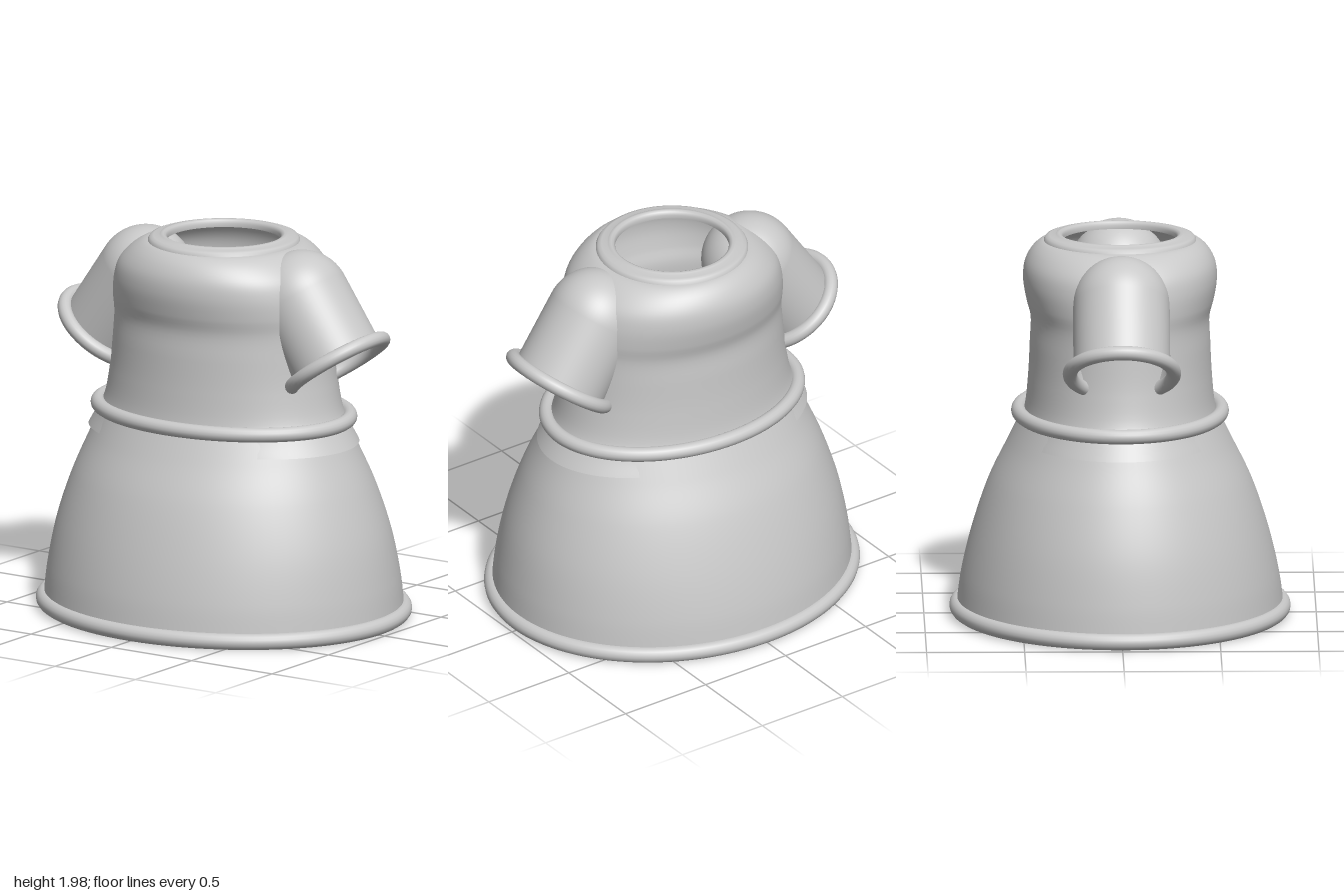
import * as THREE from 'three';
import { ParametricGeometry } from 'three/addons/geometries/ParametricGeometry.js';

const cloth = new THREE.MeshStandardMaterial({ color: 0xc8c8c8, side: THREE.DoubleSide });
cloth.name = 'grey cloth';

function mesh(name, geometry) {
  const m = new THREE.Mesh(geometry, cloth);
  m.name = name;
  return m;
}

// Smooth shell through oval sections given as [y, half width, half depth]
function ovalShell(name, sections) {
  const curve = new THREE.CatmullRomCurve3(
    sections.map(([y, rx, rz]) => new THREE.Vector3(rx, y, rz)), false, 'centripetal');
  const p = new THREE.Vector3();
  return mesh(name, new ParametricGeometry((u, v, target) => {
    curve.getPoint(v, p);
    const a = -u * Math.PI * 2;
    target.set(p.x * Math.cos(a), p.y, p.z * Math.sin(a));
  }, 96, 48));
}

// Rolled trim following an oval
function ovalTrim(name, y, rx, rz, radius) {
  const points = [];
  for (let i = 0; i < 48; i++) {
    const a = i / 48 * Math.PI * 2;
    points.push(new THREE.Vector3(rx * Math.cos(a), y, rz * Math.sin(a)));
  }
  const path = new THREE.CatmullRomCurve3(points, true);
  return mesh(name, new THREE.TubeGeometry(path, 128, radius, 16, true));
}

// Domed open sleeve with a rolled cuff, side = +1 left, -1 right
function sleeve(side) {
  const group = new THREE.Group();
  group.name = side > 0 ? 'leftSleeve' : 'rightSleeve';
  const r = 0.247, length = 0.384;
  const profile = [new THREE.Vector2(r, 0), new THREE.Vector2(r, length / 2)];
  for (let i = 0; i <= 20; i++) {
    const a = i / 20 * Math.PI / 2;
    profile.push(new THREE.Vector2(Math.max(0, r * Math.cos(a)), length + r * Math.sin(a)));
  }
  group.add(mesh('sleeveShell', new THREE.LatheGeometry(profile, 64)));
  const cuff = mesh('sleeveCuff', new THREE.TorusGeometry(0.265, 0.037, 16, 72));
  cuff.rotation.x = Math.PI / 2;
  group.add(cuff);
  group.position.set(side * 0.705, 1.387, 0);
  group.rotation.z = side * 0.61;
  return group;
}

export function createModel() {
  const model = new THREE.Group();
  model.name = 'dress';

  // Bell-shaped skirt, open below
  model.add(ovalShell('skirt', [
    [0.04, 0.96, 0.835], [0.22, 0.942, 0.81], [0.45, 0.9, 0.755],
    [0.7, 0.82, 0.67], [0.9, 0.735, 0.573], [1.05, 0.67, 0.5],
  ]));
  model.add(ovalTrim('hemTrim', 0.042, 0.958, 0.828, 0.042));

  // Bodice with a flared lower edge and full shoulders
  model.add(ovalShell('bodice', [
    [0.935, 0.755, 0.535], [1.01, 0.71, 0.505], [1.09, 0.665, 0.484],
    [1.25, 0.63, 0.468], [1.42, 0.612, 0.46], [1.55, 0.605, 0.456],
    [1.64, 0.605, 0.478], [1.74, 0.59, 0.494], [1.82, 0.56, 0.488],
    [1.89, 0.495, 0.455], [1.935, 0.42, 0.405], [1.945, 0.36, 0.36],
  ]));
  model.add(ovalTrim('waistTrim', 1.055, 0.695, 0.517, 0.038));

  // Stepped collar around the open neck
  const collar = [
    [0.39, 1.93], [0.388, 1.945], [0.378, 1.96], [0.36, 1.966], [0.33, 1.967],
    [0.325, 1.974], [0.31, 1.976], [0.297, 1.97], [0.29, 1.955], [0.292, 1.935],
  ].map(([x, y]) => new THREE.Vector2(x, y));
  model.add(mesh('collar', new THREE.LatheGeometry(collar, 96)));

  for (const side of [1, -1]) model.add(sleeve(side));
  return model;
}
